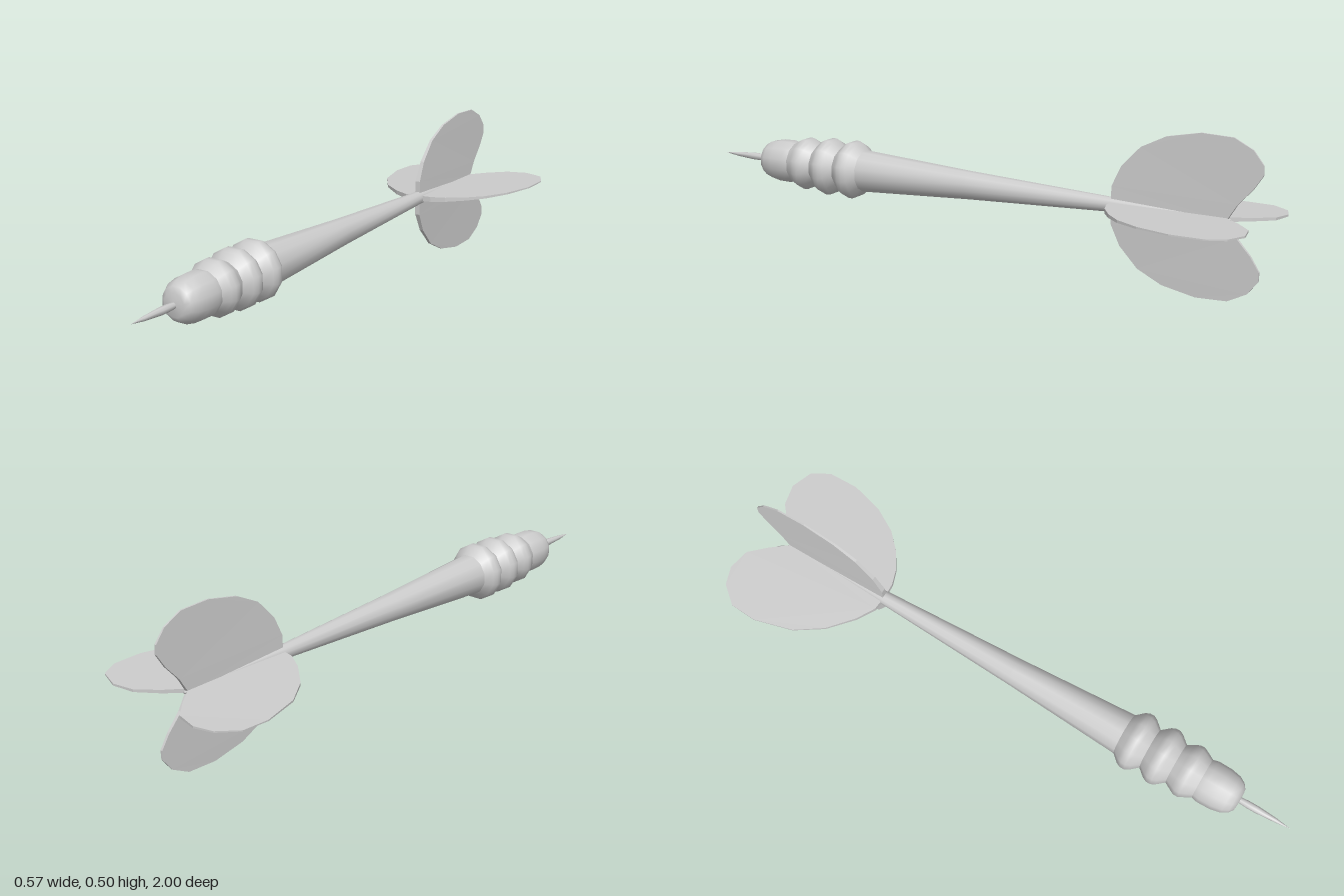
import * as THREE from 'three';

const SIDES = 12;
const AXIS_Y = 0.253;

export function createModel() {
  const model = new THREE.Group();
  model.name = 'dart';
  const dart = new THREE.Group();
  dart.name = 'dartBody';
  dart.position.y = AXIS_Y;
  model.add(dart);
  const grey = new THREE.MeshStandardMaterial({ color: 0xcccccc });
  const finGrey = new THREE.MeshStandardMaterial({ color: 0xcccccc, flatShading: true });

  // Turned part along z, profile as [radius, z] from back to front
  function turned(name, profile, sides = SIDES) {
    const points = profile.map(([r, z]) => new THREE.Vector2(r, z));
    const geometry = new THREE.LatheGeometry(points, sides, Math.PI / sides);
    geometry.rotateX(Math.PI / 2);
    const mesh = new THREE.Mesh(geometry, grey);
    mesh.name = name;
    dart.add(mesh);
  }

  // Long tapering shaft
  turned('shaft', [[0, -0.88], [0.004, -0.88], [0.023, -0.5], [0.046, 0], [0.07, 0.41]]);

  // Grip rings, meeting in sharp grooves
  [[0.453, 0.098], [0.548, 0.097], [0.642, 0.089]].forEach(([z, r], i) => {
    turned('gripRing' + (i + 1), [
      [0.068, z - 0.048], [r - 0.007, z - 0.022], [r, z - 0.008],
      [r, z + 0.008], [r - 0.007, z + 0.022], [0.068, z + 0.048],
    ]);
  });

  // Rounded nose
  turned('nose', [[0.068, 0.688], [0.073, 0.71], [0.072, 0.755], [0.065, 0.79],
    [0.053, 0.81], [0.037, 0.822], [0, 0.825]]);

  // Needle point
  turned('point', [[0.009, 0.81], [0.012, 0.85], [0.012, 0.88], [0.007, 0.95], [0, 1]], 8);

  // Flight fin: outline as [radius, z], thinner towards the tip and the back
  function fin(name, outline, angle) {
    const shape = new THREE.Shape(outline.map(([r, z]) => new THREE.Vector2(r, z)));
    const geometry = new THREE.ExtrudeGeometry(shape, { depth: 1, bevelEnabled: false });
    const p = geometry.attributes.position;
    for (let i = 0; i < p.count; i++) {
      const outward = p.getX(i) / 0.285;
      const backward = (-0.5 - p.getY(i)) / 0.5;
      const thickness = 0.02 * (1 - 0.7 * outward) * (1 - 0.45 * backward);
      p.setZ(i, (p.getZ(i) - 0.5) * thickness);
    }
    geometry.rotateX(Math.PI / 2);
    geometry.rotateZ(THREE.MathUtils.degToRad(angle));
    geometry.computeVertexNormals();
    const mesh = new THREE.Mesh(geometry, finGrey);
    mesh.name = name;
    dart.add(mesh);
  }

  const sideFin = [[0, -0.5], [0.05, -0.503], [0.1, -0.52], [0.16, -0.56], [0.21, -0.61],
    [0.255, -0.69], [0.285, -0.8], [0.283, -0.9], [0.25, -0.96], [0.18, -0.987],
    [0.11, -0.972], [0.05, -0.92], [0, -0.86]];
  const rightFin = [[0, -0.5], [0.05, -0.505], [0.11, -0.54], [0.19, -0.61], [0.25, -0.7],
    [0.285, -0.83], [0.28, -0.92], [0.23, -0.98], [0.17, -1], [0.1, -0.985],
    [0.05, -0.93], [0, -0.865]];
  const uprightFin = [[0, -0.5], [0.06, -0.5], [0.125, -0.53], [0.19, -0.59], [0.23, -0.67],
    [0.252, -0.78], [0.248, -0.88], [0.217, -0.94], [0.175, -0.973], [0.145, -0.974],
    [0.1, -0.945], [0.05, -0.9], [0, -0.87]];
  fin('leftFin', sideFin, 2.7);
  fin('topFin', uprightFin, 90.3);
  fin('rightFin', rightFin, 182.7);
  fin('bottomFin', uprightFin, 270.3);

  return model;
}
